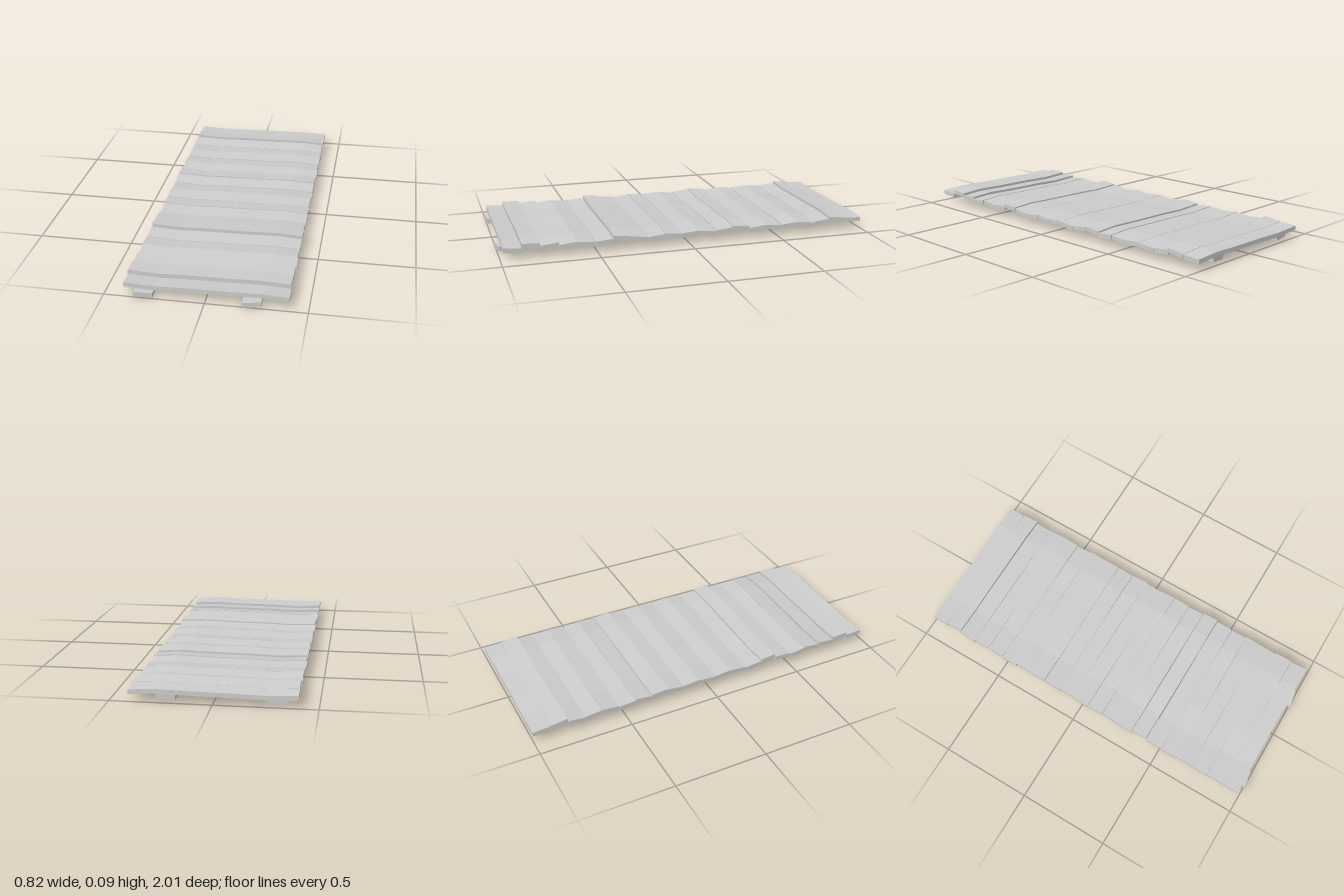
import * as THREE from 'three';

const material = new THREE.MeshStandardMaterial({ color: 0xcccccc, flatShading: true, side: THREE.DoubleSide });

// Linear lookup in a list of [position, value] pairs
function sample(points, t) {
  for (let i = 1; i < points.length; i++) {
    const [a, va] = points[i - 1], [b, vb] = points[i];
    if (t <= b) return va + (vb - va) * Math.max(0, (t - a) / (b - a));
  }
  return points[points.length - 1][1];
}

function bend(geometry, rule) {
  const p = geometry.attributes.position, v = new THREE.Vector3();
  for (let i = 0; i < p.count; i++) {
    rule(v.fromBufferAttribute(p, i));
    p.setXYZ(i, v.x, v.y, v.z);
  }
  geometry.computeVertexNormals();
  return geometry;
}

// Shared warp of the boards across the width
const WARP = [[-0.405, 0], [-0.25, -0.007], [-0.1, -0.002], [0.1, 0], [0.28, 0.005], [0.405, -0.003]];

// Height of each board's middle, back to front, and its tilt along z
const HEIGHTS = [0.058, 0.068, 0.056, 0.055, 0.057, 0.054, 0.056, 0.064, 0.058, 0.055, 0.057,
  0.057, 0.055, 0.056, 0.071, 0.055, 0.054, 0.056, 0.06, 0.072, 0.056];
const TILTS = [0.003, 0.006, -0.005, 0.005, -0.004, 0.004, -0.005, 0.004, -0.005, 0.005, -0.004,
  0.005, -0.004, 0.005, 0.004, -0.004, 0.005, -0.005, -0.004, 0.002, 0.004];

function makePlank(i) {
  const pitch = 1.985 / 21;
  const z = -1 + pitch * (i + 0.5);
  const depth = i === 14 ? 0.088 : 0.094;
  const shift = 0.003 * Math.sin(i * 2.3);
  const geometry = bend(new THREE.BoxGeometry(0.81, 0.023, depth, 5, 1, 1), v => {
    const column = Math.round((v.x / 0.81 + 0.5) * 5);
    const [x, lift] = WARP[column];
    v.x = x + shift;
    v.y += HEIGHTS[i] + lift + TILTS[i] * v.z / depth * 2;
    v.z += z + 0.001 * Math.sin(i * 1.7 + column);
  });
  const plank = new THREE.Mesh(geometry, material);
  plank.name = `plank${i + 1}`;
  return plank;
}

// Long support beam, sagging slightly towards the front
const SAG = [[-0.98, 0.027], [-0.5, 0.026], [0, 0.023], [0.6, 0.018], [1, 0.02]];

function makeBeam(name, x, roll) {
  const geometry = bend(new THREE.BoxGeometry(0.092, 0.025, 1.98, 1, 1, 8), v => {
    v.z += 0.01 - 0.006 * v.x / 0.046;
    v.y += sample(SAG, v.z) + roll * v.x / 0.046;
    v.x += x;
  });
  const beam = new THREE.Mesh(geometry, material);
  beam.name = name;
  return beam;
}

export function createModel() {
  const model = new THREE.Group();
  model.name = 'boardwalk';

  const deck = new THREE.Group();
  deck.name = 'deck';
  for (let i = 0; i < HEIGHTS.length; i++) deck.add(makePlank(i));

  const supports = new THREE.Group();
  supports.name = 'supports';
  supports.add(makeBeam('rightBeam', -0.304, -0.003), makeBeam('leftBeam', 0.228, 0.003));

  model.add(deck, supports);
  // Rest the model on the ground
  const box = new THREE.Box3().setFromObject(model);
  model.position.y = -box.min.y;
  return model;
}
